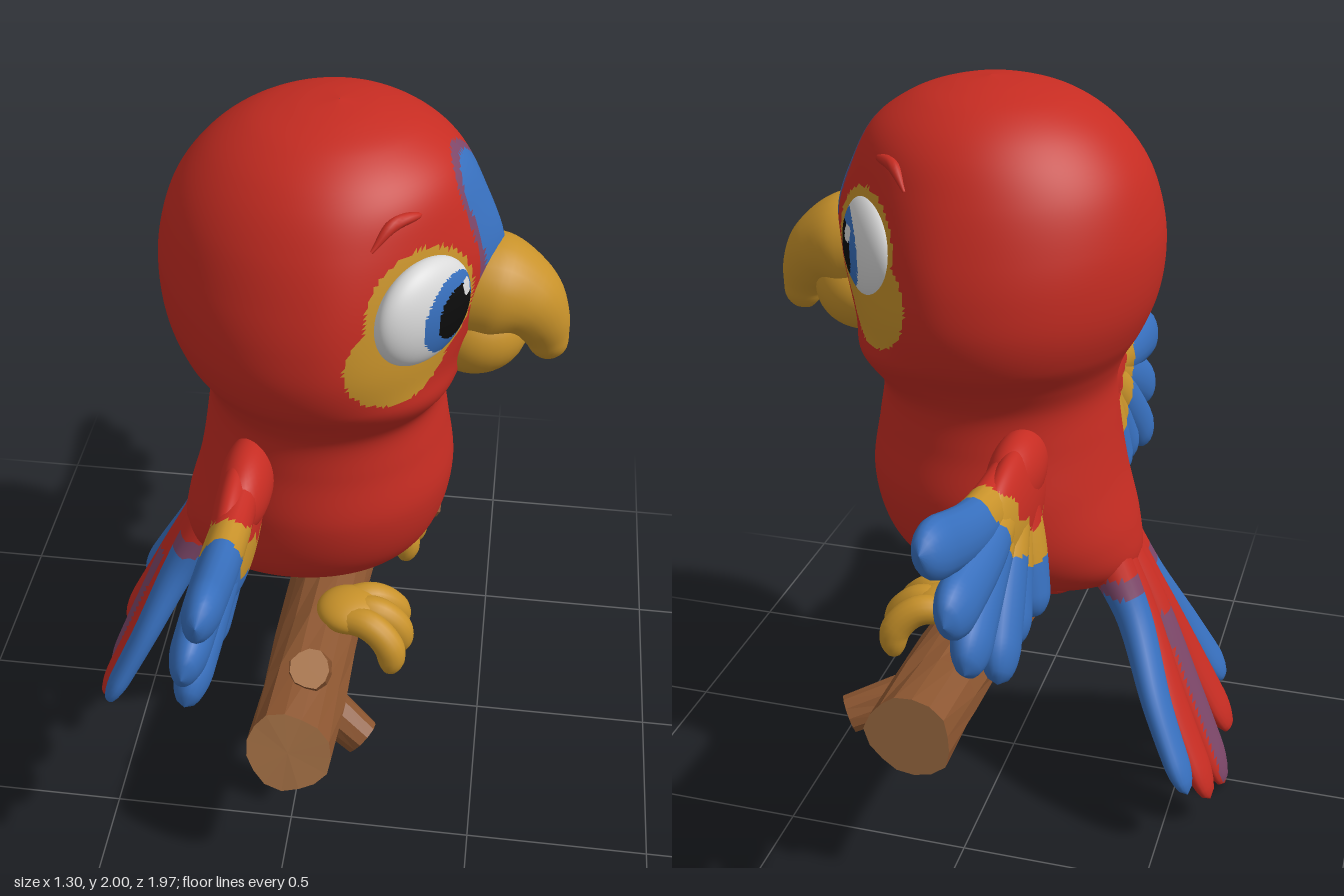
import * as THREE from 'three';

const V = (x, y, z) => new THREE.Vector3(x, y, z);
const mat = (name, color) => {
  const m = new THREE.MeshStandardMaterial({ color });
  m.name = name;
  return m;
};

// Closed-ring surface: f(u, angle) gives a point, u runs 0..1 along the rows
function loft(rows, cols, f) {
  const pos = [], idx = [];
  for (let i = 0; i <= rows; i++)
    for (let j = 0; j < cols; j++) pos.push(...f(i / rows, (j / cols) * Math.PI * 2).toArray());
  for (let i = 0; i < rows; i++)
    for (let j = 0; j < cols; j++) {
      const k = (j + 1) % cols, a = i * cols + j, d = i * cols + k, b = a + cols, c = d + cols;
      idx.push(a, b, d, b, c, d);
    }
  const g = new THREE.BufferGeometry();
  g.setAttribute('position', new THREE.Float32BufferAttribute(pos, 3));
  g.setIndex(idx);
  g.computeVertexNormals();
  return g;
}

// Elliptical sweep along points; sizes are [width, thickness] pairs, one per point
function sweep(points, sizes, normal, tip = 0.15, rows = 24, cols = 16) {
  const path = new THREE.CatmullRomCurve3(points);
  const size = new THREE.CatmullRomCurve3(sizes.map(([w, t]) => V(w, t, 0)));
  return loft(rows, cols, (u, a) => {
    const T = path.getTangent(u), S = normal.clone().cross(T).normalize(), N = T.clone().cross(S);
    const r = size.getPoint(u), e = Math.max(0, (u - 1 + tip) / tip);
    const k = Math.sqrt(Math.max(0, 1 - e * e));
    return path.getPoint(u).addScaledVector(N, r.y * k * Math.cos(a)).addScaledVector(S, r.x * k * Math.sin(a));
  });
}

// Sort triangles into material groups by a rule on their centres
function paint(g, rule, count) {
  const bins = Array.from({ length: count }, () => []);
  const p = g.attributes.position, ix = g.index.array, c = V(0, 0, 0), q = V(0, 0, 0);
  for (let i = 0; i < ix.length; i += 3) {
    c.set(0, 0, 0);
    for (let k = 0; k < 3; k++) c.add(q.fromBufferAttribute(p, ix[i + k]));
    bins[rule(c.divideScalar(3))].push(ix[i], ix[i + 1], ix[i + 2]);
  }
  g.setIndex(bins.flat());
  g.clearGroups();
  let start = 0;
  bins.forEach((b, i) => { g.addGroup(start, b.length, i); start += b.length; });
  return g;
}

// Head and body rings: y, back z, front z, half width
const RINGS = [
  [2.0, 0.06, 0.061, 0.001], [1.985, -0.06, 0.17, 0.12], [1.95, -0.17, 0.27, 0.22], [1.88, -0.27, 0.365, 0.31],
  [1.78, -0.345, 0.425, 0.375], [1.65, -0.385, 0.475, 0.425], [1.55, -0.39, 0.47, 0.447], [1.45, -0.375, 0.44, 0.45],
  [1.36, -0.34, 0.4, 0.425], [1.28, -0.295, 0.36, 0.37], [1.21, -0.275, 0.345, 0.335], [1.1, -0.285, 0.36, 0.337],
  [0.95, -0.31, 0.38, 0.358], [0.8, -0.35, 0.35, 0.328], [0.7, -0.36, 0.29, 0.255], [0.64, -0.31, 0.2, 0.165],
  [0.61, -0.2, 0.1, 0.08], [0.6, -0.05, -0.049, 0.001],
];

export function createModel() {
  const red = mat('red plumage', 0xc62c22), blue = mat('blue plumage', 0x376fbd);
  const yellow = mat('golden yellow', 0xc8922a), purple = mat('purple blend', 0x7c4668);
  const white = mat('eye white', 0xd9d9d9), black = mat('pupil black', 0x0c0c0c);
  const bark = mat('bark brown', 0x8b5530), wood = mat('cut wood', 0xa87347);
  const root = new THREE.Group(), bird = new THREE.Group();
  root.name = 'parrotOnBranch';
  bird.name = 'parrot';
  bird.rotation.y = Math.PI / 2; // built facing +z, then turned to face +x
  root.add(bird);
  const add = (name, g, m) => {
    const mesh = new THREE.Mesh(g, m);
    mesh.name = name;
    bird.add(mesh);
    return mesh;
  };
  const ball = (rx, ry, rz, x, y, z, w = 32, h = 24) =>
    new THREE.SphereGeometry(1, w, h).scale(rx, ry, rz).translate(x, y, z);

  // Head and body: flat beside the beak, full at the jowls; eye patches and forehead stripe are painted
  const FX = -0.02, EX = 0.263, EY = 1.605, EZ = 0.297, TURN = 0.65;
  const low = new THREE.CatmullRomCurve3(RINGS.map(r => V(r[1], r[0], r[2])));
  const wide = new THREE.CatmullRomCurve3(RINGS.map(r => V(r[3], r[0], 0)));
  const bell = (y, mid, width) => Math.exp(-(((y - mid) / width) ** 2));
  const skin = (u, a) => {
    const r = low.getPoint(u), w = Math.max(0.001, wide.getPoint(u).x);
    const diagonal = Math.cos(a) > 0 ? Math.abs(Math.sin(2 * a)) ** 1.25 : 0;
    const push = (0.04 * bell(r.y, 1.31, 0.065) - 0.066 * bell(r.y, 1.61, 0.2)) * diagonal;
    return V(w * Math.sin(a), r.y, (r.x + r.z) / 2 + ((r.z - r.x) / 2) * Math.cos(a) + push);
  };
  const skinRule = p => {
    const x = p.x - FX;
    if (p.z < 0.05 || p.y < 1.3) return 0;
    const top = Math.hypot(x, Math.max(0, p.y - 1.8));
    if (p.y > 1.55 && top < 0.09) return 2;
    if (p.y > 1.55 && top < 0.11) return 3;
    const u = (Math.abs(x) - EX) * Math.cos(TURN) - (p.z - EZ) * Math.sin(TURN), v = p.y - EY;
    return Math.hypot(u / 0.17, v / 0.157) < 1 || Math.hypot((u - 0.07) / 0.155, (v + 0.1) / 0.13) < 1 ? 1 : 0;
  };
  add('headAndBody', paint(loft(150, 180, skin), skinRule, 4), [red, yellow, blue, purple]);
  add('underTail', ball(0.1, 0.045, 0.08, 0, 0.612, -0.12), red);
  const rump = [V(0, 0.88, -0.2), V(0, 0.7, -0.285), V(0, 0.52, -0.385)];
  add('rump', sweep(rump, [[0.2, 0.1], [0.15, 0.075], [0.08, 0.035]], V(0, -0.43, 0.9), 0.25), red);

  for (const s of [-1, 1]) {
    const side = s > 0 ? 'left' : 'right';
    // Eyes with iris, pupil and glint as separate faces
    const ex = FX + s * EX, ix = FX + s * 0.247;
    const eye = new THREE.SphereGeometry(1, 80, 60).scale(0.155, 0.136, 0.065).rotateY(s * TURN).translate(ex, EY, EZ);
    add(side + 'Eye', paint(eye, p => {
      const d = Math.hypot(p.x - ix, p.y - 1.6);
      if (p.z < 0.2) return 0;
      if (Math.hypot(p.x - ix - 0.042, p.y - 1.647) < 0.022) return 0;
      return d < 0.067 ? 2 : d < 0.1 ? 1 : 0;
    }, 3), [white, blue, black]);

    // Brow ridge lying on the head
    const brow = [[0.232, 1.146], [0.206, 0.99], [0.204, 0.75]].map(([u, a]) => skin(u, s * a));
    add(side + 'Brow', sweep(brow, [[0.004, 0.004], [0.016, 0.016], [0.012, 0.012]], V(0, 0, 1), 0.3, 16, 10), red);

    // Wing: feathers fan from the shoulder, banded red, yellow, blue
    const wz = (x, y) => -0.088 - (1.24 - y) * 0.18 + s * 0.036 * x;
    const wingRule = p => {
      const dx = Math.abs(p.x) - 0.33, dy = p.y - 1.2, ang = Math.atan2(dy, dx);
      const r = Math.hypot(dx, dy) + 0.014 * Math.cos(ang * 14);
      return r < 0.235 ? 0 : r < 0.325 ? 1 : 2;
    };
    const feathers = [
      [0.66, 1.095, 0.985, 1.182, 0.076], [0.66, 1.03, 0.965, 0.995, 0.08], [0.63, 0.97, 0.885, 0.825, 0.077],
      [0.55, 0.93, 0.74, 0.715, 0.074], [0.47, 0.92, 0.585, 0.725, 0.066], [0.4, 0.92, 0.44, 0.73, 0.058],
    ];
    feathers.forEach(([mx, my, tx, ty, w], i) => {
      const dz = (i % 2) * 0.012;
      const pts = [V(s * 0.36, 1.1, wz(0.36, 1.1)), V(s * mx, my, wz(mx, my) - dz), V(s * tx, ty, wz(tx, ty) - dz)];
      const g = sweep(pts, [[0.06, 0.045], [0.07, 0.05], [w, 0.046]], V(0, -0.18, 1), 0.17, 44, 18);
      add(side + 'WingFeather' + (i + 1), paint(g, wingRule, 3), [red, yellow, blue]);
    });
    const web = ball(0.27, 0.155, 0.058, s * 0.41, 1.02, wz(0.42, 1.02), 64, 44);
    add(side + 'WingBase', paint(web, wingRule, 3), [red, yellow, blue]);
    add(side + 'Shoulder', ball(0.17, 0.1, 0.068, s * 0.34, 1.085, wz(0.34, 1.085)), red);

    // Feet: three toes curling over the branch
    const fx = s > 0 ? 0.22 : -0.25;
    add(side + 'Foot', ball(0.085, 0.05, 0.09, fx, 0.595, 0.13), yellow);
    for (const k of [-1, 0, 1]) {
      const z = k ? 0 : 0.015;
      const toe = [V(fx + k * 0.035, 0.59, 0.1), V(fx + k * 0.058, 0.595, 0.19 + z),
        V(fx + k * 0.08, 0.54, 0.25 + z), V(fx + k * 0.09, 0.455, 0.255 + z)];
      add(side + 'Toe' + (k + 2), sweep(toe, [[0.035, 0.035], [0.042, 0.042], [0.04, 0.042], [0.028, 0.03]], V(0, 1, 1), 0.2), yellow);
    }
  }

  // Beak: hooked upper part over a rounded lower part
  const beakPath = [[1.525, 0.34], [1.525, 0.45], [1.495, 0.53], [1.44, 0.577], [1.385, 0.6], [1.32, 0.608]];
  const beakSize = [[0.135, 0.13], [0.145, 0.138], [0.117, 0.108], [0.085, 0.08], [0.055, 0.056], [0.03, 0.042]];
  add('upperBeak', sweep(beakPath.map(([y, z]) => V(FX, y, z)), beakSize, V(0, 1, 0.3), 0.14, 36, 28), yellow);
  add('lowerBeak', ball(0.148, 0.122, 0.138, FX, 1.412, 0.415), yellow);

  // Tail: blue outer feathers, red inner ones, a purple sheen on the middle one
  const flat = V(0, -0.43, 0.9);
  const tail = [[0.3, 0.17, -0.575, 0.06], [0.175, 0.075, -0.62, 0.068], [0, 0.005, -0.635, 0.074]];
  tail.forEach(([x, y, z, w], i) => {
    for (const s of i < 2 ? [-1, 1] : [1]) {
      const d = i === 1 ? 0 : i ? -0.012 : 0.004;
      const pts = [V(s * x * 0.2, 0.78, -0.25), V(s * x * 0.36, 0.58, -0.37 + d),
        V(0.015 + s * x * 0.73, (0.58 + y) / 2, (z - 0.37) / 2 + d), V(0.02 + s * x, y, z)];
      const g = sweep(pts, [[0.07, 0.07], [0.06, 0.048], [w, 0.036], [w * 0.95, 0.028]], flat, 0.13, 40, 20);
      const line = new THREE.CatmullRomCurve3(pts).getPoints(40);
      const sheen = p => {
        const c = line.reduce((a, b) => (Math.abs(b.y - p.y) < Math.abs(a.y - p.y) ? b : a));
        return p.z < c.z - 0.015 && Math.abs(p.x - c.x) < 0.05 && p.y < 0.55 ? 1 : 0;
      };
      const fade = p => (p.y > 0.69 ? 0 : p.y > 0.64 ? 1 : 2);
      const rule = [fade, () => 0, sheen][i];
      add(['outer', 'inner', 'middle'][i] + 'TailFeather', paint(g, rule, 3), [red, purple, blue]);
    }
  });

  // Faceted logs with cut ends, the lower end cut at a slant
  const log = (r0, r1, len, sides, rows) => {
    const g = new THREE.CylinderGeometry(r1, r0, len, sides, rows), p = g.attributes.position;
    for (let i = 0; i < p.count; i++) {
      const a = Math.atan2(p.getZ(i), p.getX(i)), y = p.getY(i);
      const k = 1 + 0.04 * Math.sin(a * 3 + y * 5) + 0.03 * Math.cos(a * 5 - y * 11);
      p.setXYZ(i, p.getX(i) * k, y + 0.25 * p.getX(i) * Math.min(0, (2 * y) / len), p.getZ(i) * k);
    }
    const flatGeo = g.toNonIndexed();
    flatGeo.computeVertexNormals();
    return flatGeo;
  };
  const branch = add('branch', log(0.113, 0.115, 1.38, 15, 7).rotateZ(-Math.PI / 2), [bark, wood, wood]);
  branch.position.set(0, 0.482, 0.052);
  branch.rotation.y = -0.043;

  // Twig stubs
  const twigs = [
    [V(-0.44, 0.53, 0.05), V(-0.54, 0.645, 0.06), 0.052],
    [V(-0.45, 0.46, 0.06), V(-0.495, 0.36, 0.2), 0.052],
    [V(0.4, 0.46, 0.1), V(0.5, 0.385, 0.315), 0.05],
  ];
  twigs.forEach(([a, b, r], i) => {
    const d = b.clone().sub(a), twig = add('twig' + (i + 1), log(r * 1.2, r, d.length(), 11, 2), [bark, wood, bark]);
    twig.position.copy(a).addScaledVector(d, 0.5);
    twig.quaternion.setFromUnitVectors(V(0, 1, 0), d.normalize());
  });
  return root;
}
